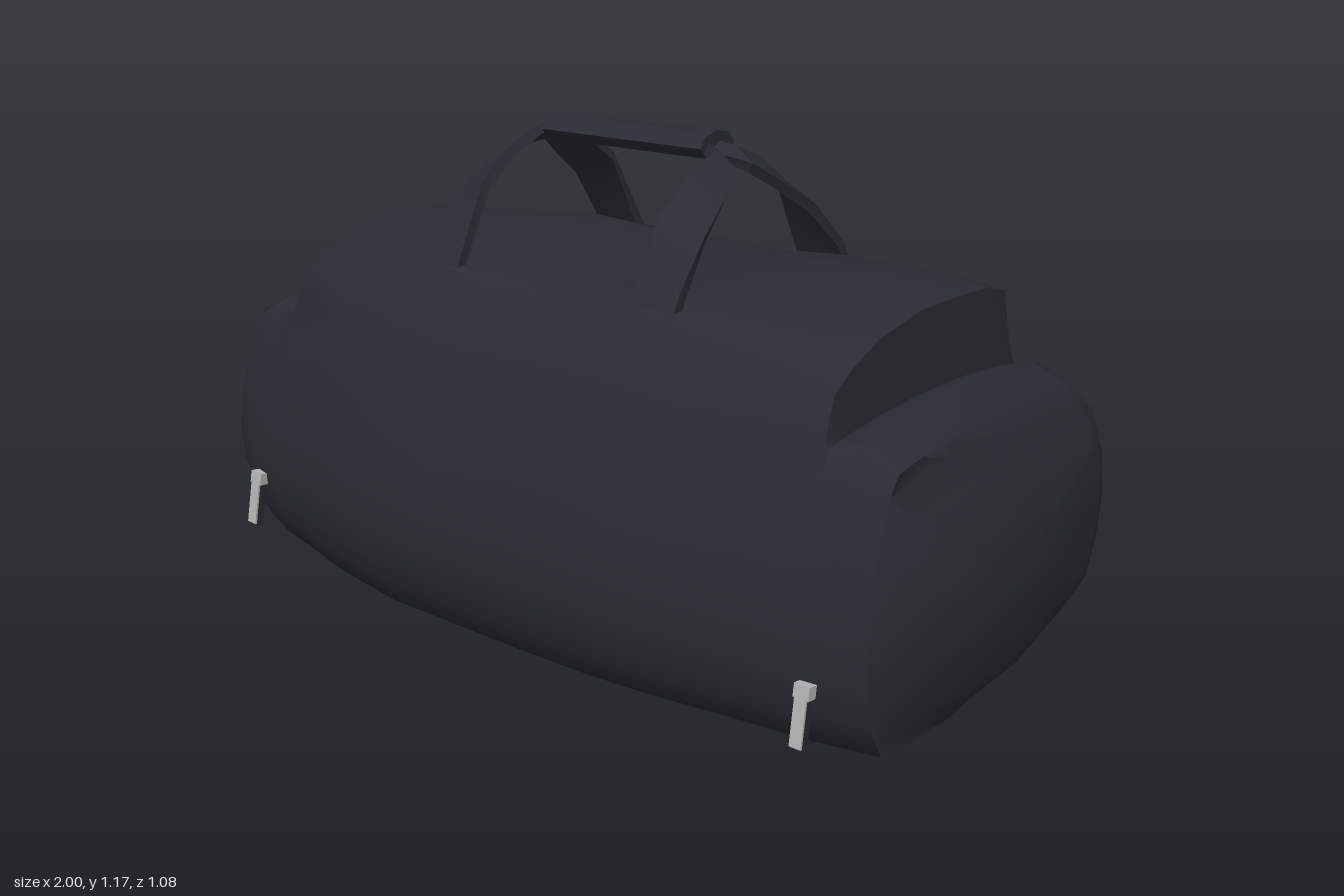
import * as THREE from 'three';
import { toCreasedNormals } from 'three/addons/utils/BufferGeometryUtils.js';

const V = (x, y, z) => new THREE.Vector3(x, y, z);

// Skin closed cross-sections in order; smooth except at sharp folds
function loft(rings, crease) {
  const n = rings[0].length, pos = [], index = [];
  rings.forEach(r => r.forEach(p => pos.push(p.x, p.y, p.z)));
  for (let i = 0; i < rings.length - 1; i++) {
    for (let j = 0; j < n; j++) {
      const a = i * n + j, b = i * n + (j + 1) % n;
      index.push(a, a + n, b + n, a, b + n, b);
    }
  }
  const g = new THREE.BufferGeometry();
  g.setAttribute('position', new THREE.Float32BufferAttribute(pos, 3));
  g.setIndex(index);
  return toCreasedNormals(g, crease);
}

// Bag cross-section as [z, y], from the front bottom over the top to the back
const PROFILE = [
  [0.445, 0.015], [0.505, 0.10], [0.53, 0.19], [0.54, 0.28], [0.52, 0.42], [0.455, 0.60],
  [0.425, 0.68], [0.39, 0.77], [0.32, 0.855], [0.20, 0.865], [0, 0.872], [-0.18, 0.872], [-0.30, 0.868],
  [-0.38, 0.83], [-0.42, 0.70], [-0.50, 0.50], [-0.535, 0.38], [-0.54, 0.25], [-0.52, 0.13],
  [-0.49, 0.03], [-0.38, 0.01], [-0.15, 0], [0.15, 0],
];

// One section: flattened at cap, lifted to bottom, fitted to front and back depth.
// The bows round the top, lift raises the back of the base,
// bulge curves the end face and skew pulls its front inwards.
function section([x, cap, bottom, front, back, bowFront = 0, bowBack = 0, lift = 0, bulge = 0, skew = 0]) {
  return PROFILE.map(([pz, py]) => {
    const z = pz / 0.54 * (pz > 0 ? front : back);
    const base = bottom + lift * Math.max(-z, 0);
    const y = Math.min(base + py * (1 - base), cap - (z > 0 ? bowFront : bowBack) * z * z);
    const inset = bulge * ((y - 0.32) / 0.35) ** 2 + skew * Math.max(z, 0);
    return V(x - Math.sign(x) * inset, y, z);
  });
}

function bodyGeometry() {
  const rings = [
    [-1.0, 0.58, 0.13, 0.40, 0.39, 0.4, 0.4, 0.18, 0.04, 0.08],
    [-0.985, 0.65, 0.085, 0.435, 0.43, 0.4, 0.4, 0.18, 0.04, 0.08],
    [-0.93, 0.685, 0.07, 0.445, 0.445, 0.35, 0.35, 0.13],
    [-0.86, 0.715, 0.05, 0.46, 0.455, 0.3, 0.3, 0.09],
    [-0.785, 0.695, 0.04, 0.472, 0.46, 0.2, 0.2, 0.06],
    [-0.78, 0.87, 0.04, 0.472, 0.46, 1.0, 1.0, 0.06],
    [-0.62, 0.865, 0.02, 0.50, 0.475, 0.45, 0.5, 0.03],
    [-0.40, 0.86, 0.015, 0.535, 0.50],
    [-0.20, 0.85, 0.01, 0.525, 0.505],
    [0, 0.84, 0.005, 0.515, 0.51],
    [0.20, 0.855, 0.01, 0.515, 0.515],
    [0.36, 0.88, 0.015, 0.505, 0.525],
    [0.62, 0.875, 0.015, 0.455, 0.54, 0.45, 0, 0.03],
    [0.755, 0.872, 0.015, 0.432, 0.515, 1.0, 0.15, 0.08],
    [0.76, 0.69, 0.015, 0.43, 0.515, 0.2, 0.2, 0.08],
    [0.83, 0.72, 0.02, 0.42, 0.50, 0.3, 0.25, 0.14],
    [0.93, 0.68, 0.025, 0.405, 0.48, 0.35, 0.2, 0.22, 0, 0.06],
    [0.985, 0.64, 0.05, 0.39, 0.455, 0.4, 0.3, 0.28, 0.045, 0.18],
    [1.0, 0.58, 0.11, 0.35, 0.41, 0.4, 0.4, 0.28, 0.04, 0.16],
  ].map(section);
  // Close both end faces
  const close = x => PROFILE.map(() => V(x, 0.34, -0.02));
  return loft([close(-1.0), ...rings, close(1.0)], 1.1);
}

// Flat strap through [centre, half width] stations
function strapGeometry(stations) {
  const rings = stations.map(([c, w], i) => {
    const prev = stations[Math.max(i - 1, 0)][0];
    const next = stations[Math.min(i + 1, stations.length - 1)][0];
    const n = w.clone().cross(next.clone().sub(prev)).normalize().multiplyScalar(0.012);
    return [[1, -1], [1, 1], [-1, 1], [-1, -1]].map(([a, b]) =>
      c.clone().addScaledVector(w, a).addScaledVector(n, b));
  });
  return loft(rings, 0.6);
}

export function createModel() {
  const fabric = new THREE.MeshStandardMaterial({ color: 0x2a2b33 });
  fabric.name = 'charcoal fabric';
  const metal = new THREE.MeshStandardMaterial({ color: 0xb4b4b4 });
  metal.name = 'silver metal';
  const bag = new THREE.Group();
  bag.name = 'duffelBag';
  const add = (name, geometry, material, parent = bag) => {
    const m = new THREE.Mesh(geometry, material);
    m.name = name;
    parent.add(m);
    return m;
  };

  add('body', bodyGeometry(), fabric);

  // Four handle legs that twist from flat on the bag to upright at the grip
  for (const [side, cx, top] of [[-1, -0.345, -0.25], [1, 0.285, 0.19]]) {
    for (const face of [1, -1]) {
      const z = d => face * d - 0.025;
      add((face > 0 ? 'front' : 'back') + (side > 0 ? 'Left' : 'Right') + 'HandleLeg', strapGeometry([
        [V(cx, 0.82, z(0.335)), V(0.065, 0, 0)],
        [V(cx, 0.88, z(0.30)), V(0.062, 0.005, 0)],
        [V(cx - side * 0.008, 1.005, z(0.215)), V(0.052, -side * 0.02, -side * face * 0.012)],
        [V(cx - side * 0.018, 1.07, z(0.12)), V(0.04, -side * 0.022, -side * face * 0.012)],
        [V(cx - side * 0.034, 1.115, z(0.035)), V(0.027, -side * 0.016, -side * face * 0.005)],
        [V(top, 1.135, z(0.005)), V(0.012, -side * 0.013, -side * face * 0.012)],
      ]), fabric);
    }
  }

  // Wrapped grip joining the straps
  const grip = add('handleGrip', toCreasedNormals(
    new THREE.CylinderGeometry(1, 1, 0.47, 8).scale(0.034, 1, 0.062), 0.9), fabric);
  grip.rotation.z = Math.PI / 2 + 0.02;
  grip.position.set(-0.035, 1.138, -0.037);

  // Zip pulls near the lower front corners
  for (const [name, x, y, z, tilt] of [['right', -0.855, 0.19, 0.472, -0.06], ['left', 0.785, 0.135, 0.437, 0]]) {
    const pull = new THREE.Group();
    pull.name = name + 'ZipPull';
    pull.position.set(x, y, z);
    pull.rotation.set(-0.14, 0, tilt);
    bag.add(pull);
    add('pullTab', new THREE.BoxGeometry(0.032, 0.125, 0.018), fabric, pull).position.y = -0.01;
    add('pullPlate', new THREE.BoxGeometry(0.029, 0.115, 0.006), metal, pull).position.set(0, -0.01, 0.011);
    add('pullSlider', new THREE.BoxGeometry(0.038, 0.03, 0.026), metal, pull).position.y = 0.052;
  }
  return bag;
}
